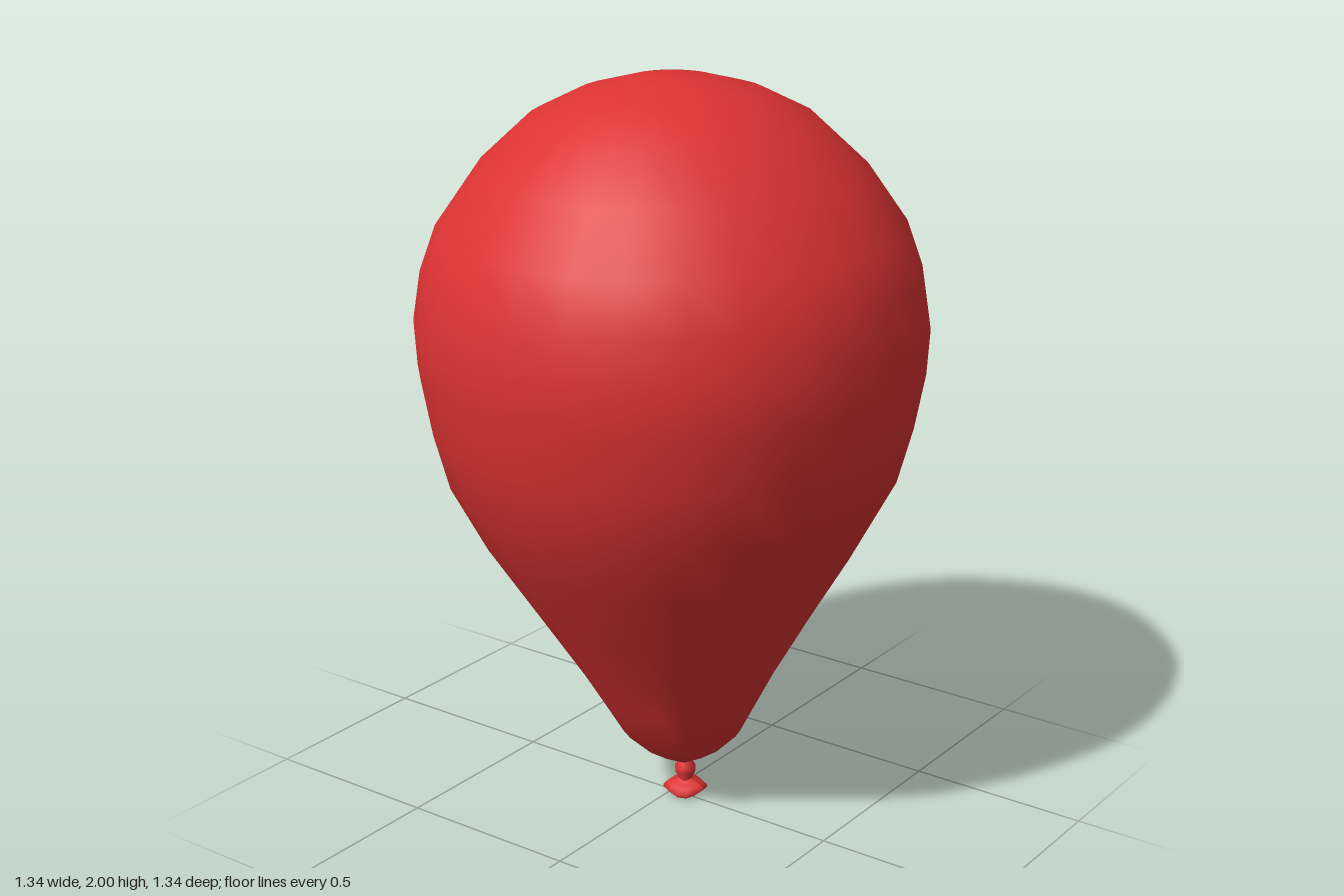
import * as THREE from 'three';

const SIDES = 28;

// Smooth turned shape from [radius, height] pairs, listed bottom to top
function turned(name, profile, material, sides = SIDES) {
  const points = profile.map(([r, y]) => new THREE.Vector2(r, y));
  const mesh = new THREE.Mesh(new THREE.LatheGeometry(points, sides), material);
  mesh.name = name;
  return mesh;
}

export function createModel() {
  const group = new THREE.Group();
  group.name = 'balloon';
  const red = new THREE.MeshStandardMaterial({ color: 0xdd3333, side: THREE.DoubleSide });

  // Inflated skin: round crown tapering to the neck
  const body = turned('body', [
    [0.015, 0.095], [0.06, 0.12], [0.11, 0.155], [0.175, 0.22], [0.23, 0.32],
    [0.28, 0.41], [0.39, 0.59], [0.5, 0.77], [0.595, 0.95], [0.635, 1.1],
    [0.662, 1.25], [0.669, 1.37], [0.648, 1.5], [0.605, 1.62], [0.5, 1.77],
    [0.365, 1.895], [0.24, 1.957], [0.11, 1.992], [0, 2],
  ], red);

  // The tapered end leans slightly towards the front, with soft gathers near the neck
  const pos = body.geometry.attributes.position;
  for (let i = 0; i < pos.count; i++) {
    const x = pos.getX(i), y = pos.getY(i), z = pos.getZ(i);
    const low = Math.max(0, 1 - y / 0.7);
    const gather = 1 + 0.06 * low * Math.cos(7 * Math.atan2(x, z));
    pos.setXYZ(i, x * gather + 0.015 * low, y, z * gather + 0.035 * low);
  }
  // Smooth normals, joined across the lathe seam and at the crown
  body.geometry.computeVertexNormals();
  const nor = body.geometry.attributes.normal;
  const rows = pos.count / (SIDES + 1);
  for (let j = 0; j < rows; j++) {
    const a = j, b = SIDES * rows + j;
    const n = new THREE.Vector3().fromBufferAttribute(nor, a)
      .add(new THREE.Vector3().fromBufferAttribute(nor, b)).normalize();
    nor.setXYZ(a, n.x, n.y, n.z);
    nor.setXYZ(b, n.x, n.y, n.z);
  }
  for (let i = 0; i <= SIDES; i++) nor.setXYZ(i * rows + rows - 1, 0, 1, 0);
  group.add(body);

  // Tied end: pinched neck, knot bulge and flared rolled lip
  const tie = new THREE.Group();
  tie.name = 'tie';
  tie.position.set(0.018, 0, 0.032);
  const neck = turned('neck', [
    [0.023, 0.03], [0.02, 0.045], [0.028, 0.062], [0.029, 0.078],
    [0.02, 0.092], [0.016, 0.105], [0.02, 0.125],
  ], red, 14);
  const lip = turned('lip', [
    [0, 0.014], [0.03, 0.008], [0.052, 0.006], [0.062, 0.016],
    [0.05, 0.028], [0.03, 0.035], [0.02, 0.042],
  ], red, 14);
  // Wavy rim
  const rim = lip.geometry.attributes.position;
  for (let i = 0; i < rim.count; i++) {
    const x = rim.getX(i), z = rim.getZ(i), r = Math.hypot(x, z);
    rim.setY(i, Math.max(0, rim.getY(i) + 0.1 * r * Math.cos(3 * Math.atan2(x, z))));
  }
  lip.geometry.computeVertexNormals();
  tie.add(neck, lip);
  group.add(tie);

  return group;
}
